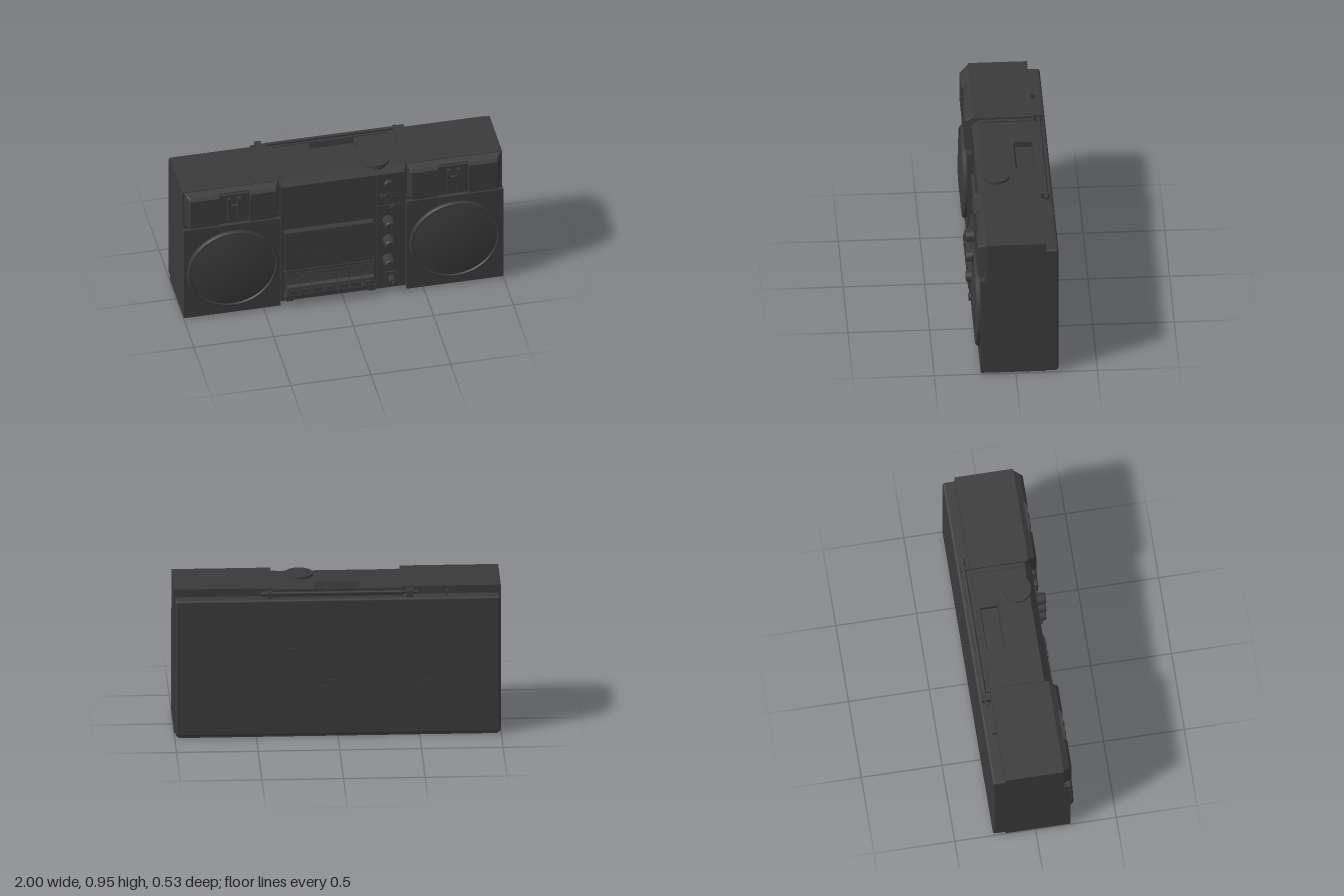
import * as THREE from 'three';
import { RoundedBoxGeometry } from 'three/addons/geometries/RoundedBoxGeometry.js';
import { toCreasedNormals } from 'three/addons/utils/BufferGeometryUtils.js';

export function createModel() {
  const model = new THREE.Group();
  const mat = new THREE.MeshStandardMaterial({ color: 0x3a3a3a });

  const add = (name, geo, parent = model) => {
    const mesh = new THREE.Mesh(geo, mat);
    mesh.name = name;
    parent.add(mesh);
    return mesh;
  };
  const group = (name) => {
    const g = new THREE.Group();
    g.name = name;
    model.add(g);
    return g;
  };
  // Box from its low and high limits on each axis
  const box = (name, x0, x1, y0, y1, z0, z1, parent) =>
    add(name, new THREE.BoxGeometry(Math.abs(x1 - x0), y1 - y0, z1 - z0)
      .translate((x0 + x1) / 2, (y0 + y1) / 2, (z0 + z1) / 2), parent);
  // [z, y] profile swept along x
  const sweepX = (points, xa, xb) => {
    const shape = new THREE.Shape(points.map(([z, y]) => new THREE.Vector2(z, y)));
    return new THREE.ExtrudeGeometry(shape, { depth: Math.abs(xb - xa), bevelEnabled: false })
      .rotateY(-Math.PI / 2).translate(Math.max(xa, xb), 0, 0);
  };
  // [radius, z] profile turned about an axis that faces the front
  const turnedZ = (points, x, y, segments = 48) =>
    toCreasedNormals(new THREE.LatheGeometry(points.map(([r, z]) => new THREE.Vector2(r, z)), segments), 0.5)
      .rotateX(Math.PI / 2).translate(x, y, 0);
  // Thin raised rectangular outline on the back
  const backFrame = (name, x0, x1, y0, y1, t, z) => {
    const g = group(name);
    box('edge', x0, x1, y1 - t, y1, z, -0.255, g);
    box('edge', x0, x1, y0, y0 + t, z, -0.255, g);
    box('edge', x0, x0 + t, y0, y1, z, -0.255, g);
    box('edge', x1 - t, x1, y0, y1, z, -0.255, g);
  };

  // Rear shell and base plate
  add('rearShell', new RoundedBoxGeometry(1.99, 0.885, 0.16, 3, 0.014).translate(0, 0.4525, -0.182));
  box('basePlate', -0.98, 0.98, 0, 0.02, -0.25, 0.08);

  // Speaker cabinets, one on each side
  const cabinet = [[-0.185, 0.01], [0.215, 0.01], [0.215, 0.68], [0.175, 0.68], [0.175, 0.945], [-0.185, 0.945]];
  const hornProfile = [[0.17, 0.7], [0.23, 0.7], [0.23, 0.905], [0.215, 0.922], [0.176, 0.942], [0.17, 0.942]];
  const taper = (geo) => {
    const p = geo.attributes.position;
    for (let i = 0; i < p.count; i++) {
      const x = p.getX(i), ax = Math.abs(x);
      if (p.getZ(i) < 0.2) continue;
      if (ax > 0.95) p.setX(i, Math.sign(x) * 0.96);
      if (ax < 0.45) p.setX(i, Math.sign(x) * 0.425);
    }
    geo.computeVertexNormals();
    return geo;
  };
  for (const s of [-1, 1]) {
    const g = group(s > 0 ? 'leftSpeaker' : 'rightSpeaker');
    add('cabinet', sweepX(cabinet, s * 0.395, s), g);
    box('tweeterLip', s * 0.4, s * 0.995, 0.675, 0.71, 0.17, 0.19, g);

    // Tweeter housing with a sunken slot in the middle
    add('tweeterInner', taper(sweepX(hornProfile, s * 0.405, s * 0.59)), g);
    add('tweeterOuter', taper(sweepX(hornProfile, s * 0.78, s * 0.99)), g);
    add('tweeterFloor', sweepX([[0.17, 0.7], [0.205, 0.7], [0.205, 0.925], [0.176, 0.942], [0.17, 0.942]],
      s * 0.59, s * 0.78), g);
    box('tweeterTop', s * 0.59, s * 0.78, 0.9, 0.918, 0.2, 0.222, g);
    for (const x of [0.655, 0.717]) box('tweeterBar', s * (x - 0.01), s * (x + 0.01), 0.72, 0.89, 0.2, 0.232, g);
    box('tweeterBridge', s * 0.66, s * 0.71, 0.79, 0.83, 0.2, 0.222, g);

    // Woofer: outer ring and domed grille
    const [wx, wy] = [s * 0.695, 0.352];
    add('wooferRing', turnedZ([[0.285, 0.21], [0.285, 0.229], [0.277, 0.238], [0.268, 0.238], [0.262, 0.228]]
      , wx, wy, 64), g);
    const dome = [];
    for (let i = 0; i <= 10; i++) {
      const r = 0.265 * (1 - i / 10);
      dome.push([r, 0.229 + 0.027 * (1 - (r / 0.265) ** 2)]);
    }
    add('wooferGrille', turnedZ(dome, wx, wy, 64), g);
    box('trimLine', s * 0.86, s * 0.97, 0.625, 0.632, 0.21, 0.217, g);
  }

  // Centre body, with a rounded finger recess in the top
  const body = [[-0.185, 0.02], [0.175, 0.02], [0.175, 0.905], [0.15, 0.932], [-0.185, 0.932]];
  const notched = [...body.slice(0, 4), [-0.05, 0.932], [-0.06, 0.895], [-0.16, 0.895], [-0.165, 0.932], body[4]];
  const centre = group('centreBody');
  add('bodyLeft', sweepX(body, 0.14, 0.4), centre);
  add('bodyRight', sweepX(body, -0.4, -0.14), centre);
  add('bodyMiddle', sweepX(notched, -0.14, 0.14), centre);

  // Raised edges of the top lid
  for (const s of [-1, 1]) box('lidEdge', s * 0.365, s * 0.39, 0.925, 0.937, -0.17, 0.14, centre);
  box('lidRearEdge', -0.39, 0.39, 0.925, 0.937, -0.185, -0.17, centre);
  add('topDial', toCreasedNormals(new THREE.CylinderGeometry(0.086, 0.089, 0.025, 40), 0.6)
    .translate(0.225, 0.934, 0.08));

  // Front fascia
  const fascia = group('frontFascia');
  add('controlColumn', sweepX([[0.16, 0.03], [0.19, 0.03], [0.19, 0.895], [0.16, 0.925]], 0.21, 0.385), fascia);
  add('topBevel', sweepX([[0.16, 0.89], [0.19, 0.895], [0.16, 0.928]], -0.385, 0.21), fascia);
  box('sideEdge', -0.388, -0.372, 0.03, 0.895, 0.16, 0.19, fascia);
  box('bottomEdge', -0.388, 0.388, 0.022, 0.045, 0.16, 0.19, fascia);
  box('tunerPanel', -0.372, 0.21, 0.56, 0.892, 0.16, 0.18, fascia);

  // Cassette door with a sloping ledge above it
  add('cassetteLedge', sweepX([[0.16, 0.525], [0.195, 0.53], [0.195, 0.54], [0.178, 0.56], [0.16, 0.56]],
    -0.37, 0.19), fascia);
  box('cassetteDoor', -0.36, 0.19, 0.25, 0.525, 0.16, 0.19, fascia);
  box('cassetteSeam', -0.36, 0.19, 0.37, 0.373, 0.16, 0.192, fascia);
  box('cassetteSill', -0.37, 0.195, 0.238, 0.25, 0.16, 0.197, fascia);

  // Row of piano keys
  const keys = group('transportKeys');
  const keyProfile = [[0.17, 0.08], [0.24, 0.08], [0.245, 0.09], [0.236, 0.15], [0.215, 0.16], [0.195, 0.238], [0.17, 0.238]];
  const pitch = 0.55 / 7;
  for (let i = 0; i < 7; i++) {
    const x0 = -0.36 + i * pitch;
    add('key', sweepX(keyProfile, x0 + 0.003, x0 + pitch - 0.003), keys);
    box('keyPad', x0 + 0.02, x0 + pitch - 0.02, 0.105, 0.135, 0.22, 0.247, keys);
  }
  box('keyRail', -0.36, 0.19, 0.062, 0.225, 0.165, 0.2, keys);
  for (const x of [-0.365, 0.15]) box('keyRailEnd', x, x + 0.045, 0.052, 0.085, 0.165, 0.238, keys);

  // Knobs, power button, sliders and jack
  const controls = group('controls');
  for (const y of [0.54, 0.392, 0.244]) {
    add('knob', turnedZ([[0.039, 0.185], [0.038, 0.2], [0.035, 0.258], [0.03, 0.265], [0, 0.265]], 0.285, y, 32), controls);
  }
  add('powerButton', turnedZ([[0.03, 0.185], [0.03, 0.212], [0.026, 0.217], [0, 0.217]], 0.285, 0.823, 32), controls);
  for (const [y, x] of [[0.735, 0.25], [0.65, 0.31]]) {
    box('sliderTrack', 0.215, 0.36, y - 0.011, y + 0.011, 0.18, 0.196, controls);
    box('sliderKnob', x - 0.014, x + 0.014, y - 0.008, y + 0.008, 0.18, 0.212, controls);
  }
  box('jackPlate', 0.265, 0.34, 0.065, 0.145, 0.18, 0.2, controls);
  add('jack', turnedZ([[0.022, 0.19], [0.022, 0.25], [0.01, 0.25], [0.01, 0.225], [0, 0.225]], 0.302, 0.102, 24), controls);

  // Folded aerial lying on the rear ledge
  const aerial = group('aerial');
  const rod = (name, x0, x1, r) => add(name, toCreasedNormals(new THREE.CylinderGeometry(r, r, x1 - x0, 16), 0.6)
    .rotateZ(Math.PI / 2).translate((x0 + x1) / 2, 0.922, -0.222), aerial);
  rod('rod', -0.49, 0.45, 0.008);
  rod('outerTube', -0.4, 0.4, 0.011);
  rod('tip', 0.43, 0.47, 0.014);
  box('hinge', -0.46, -0.42, 0.89, 0.938, -0.247, -0.19, aerial);
  box('clip', 0.4, 0.43, 0.89, 0.93, -0.24, -0.185, aerial);
  box('rearRail', -0.4, 0.4, 0.89, 0.908, -0.212, -0.18, aerial);
  box('rearTab', -0.675, -0.665, 0.89, 0.925, -0.215, -0.18, aerial);

  // Back: selector window, battery door seam and two latches
  backFrame('selectorWindow', 0.23, 0.33, 0.385, 0.58, 0.008, -0.265);
  backFrame('batteryDoor', -0.66, 0.22, 0.025, 0.31, 0.003, -0.263);
  for (const x of [0.075, -0.525]) {
    backFrame('batteryLatch', x - 0.052, x + 0.052, 0.295, 0.37, 0.008, -0.265);
    box('latchTongue', x - 0.04, x + 0.04, 0.32, 0.335, -0.266, -0.255);
  }
  return model;
}
